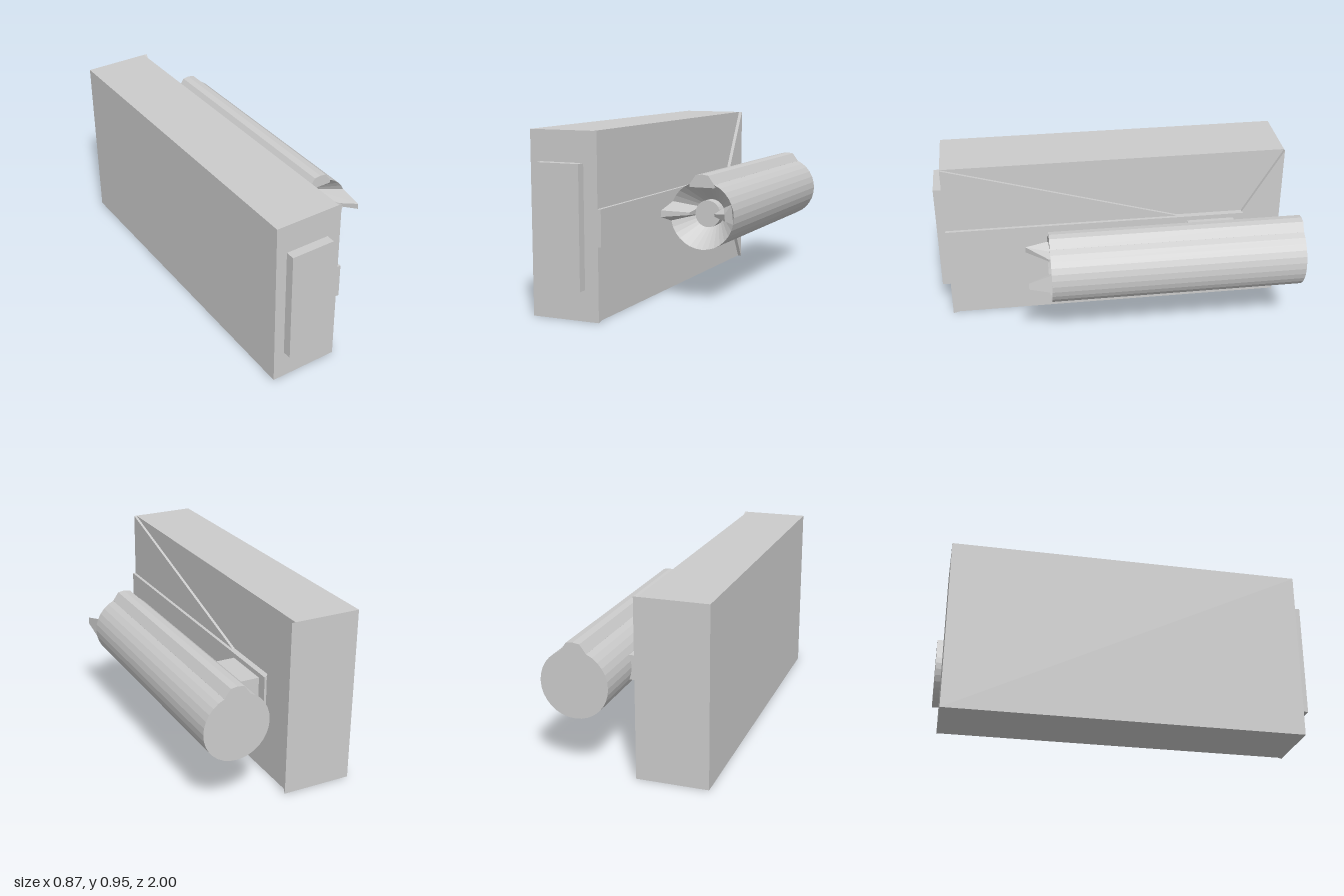
import * as THREE from 'three';

const material = new THREE.MeshStandardMaterial({ color: 0xcccccc, flatShading: true });

export function createModel() {
  const model = new THREE.Group();

  const add = (name, geometry) => {
    const mesh = new THREE.Mesh(geometry, material);
    mesh.name = name;
    model.add(mesh);
    return mesh;
  };

  // Box given by its lower and upper limits
  const addBox = (name, [x0, y0, z0], [x1, y1, z1]) =>
    add(name, new THREE.BoxGeometry(x1 - x0, y1 - y0, z1 - z0))
      .position.set((x0 + x1) / 2, (y0 + y1) / 2, (z0 + z1) / 2);

  // Slab with its outline in (z, y), extruded along x
  const addSidePanel = (name, outline, x0, x1) => {
    const shape = new THREE.Shape(outline.map(([z, y]) => new THREE.Vector2(-z, y)));
    const geometry = new THREE.ExtrudeGeometry(shape, { depth: x1 - x0, bevelEnabled: false });
    add(name, geometry.rotateY(Math.PI / 2).translate(x0, 0, 0));
  };

  // Main housing with front plate
  addBox('housing', [-0.435, 0, -0.968], [-0.073, 0.952, 0.95]);
  addBox('frontPlate', [-0.375, 0.16, 0.95], [-0.134, 0.793, 1]);

  // Raised tapering panels on the inner side
  addSidePanel('frontSidePanel', [[0.95, 0], [0.95, 0.952], [-0.37, 0.571], [-0.37, 0.382]], -0.073, -0.058);
  addSidePanel('rearSidePanel', [[-0.968, 0], [-0.968, 0.952], [-0.745, 0.571], [-0.745, 0.382]], -0.073, -0.053);

  // Rail and the arm carrying the barrel
  addBox('rail', [-0.073, 0.382, -0.75], [-0.04, 0.571, 0.95]);
  addBox('arm', [-0.04, 0.41, -0.693], [0.12, 0.545, -0.423]);

  // Barrel with conical recess and central hub
  const cx = 0.253, cy = 0.478, radius = 0.181, hubRadius = 0.072;
  const rim = 0.39, recess = 0.25;
  const profile = [[0, -1], [radius, -1], [radius, rim], [hubRadius, recess], [hubRadius, 0.31], [0, 0.31]]
    .map(([r, z]) => new THREE.Vector2(r, z));
  add('barrel', new THREE.LatheGeometry(profile, 32).rotateX(Math.PI / 2)).position.set(cx, cy, 0);

  // Ridge along the top of the barrel
  const ridge = new THREE.Shape([[-0.07, 0.15], [0.07, 0.15], [0.07, 0.167], [0.036, 0.214], [0, 0.219], [-0.036, 0.214], [-0.07, 0.167]]
    .map(([x, y]) => new THREE.Vector2(x, y)));
  add('topRidge', new THREE.ExtrudeGeometry(ridge, { depth: rim + 1, bevelEnabled: false }))
    .position.set(cx, cy, -1);

  // Two mirrored prongs, each joining an inner and an outer cross-section
  const sections = [[hubRadius, recess, rim], [radius, rim, 0.512]];
  const quads = [[0, 1, 5, 4], [1, 2, 6, 5], [2, 3, 7, 6], [3, 0, 4, 7], [4, 5, 6, 7], [3, 2, 1, 0]];
  for (const side of [1, -1]) {
    const points = [];
    for (const [r, base, top] of sections) {
      [2, 1, 0, -1].forEach((step, i) => {
        const angle = step * Math.PI / 16;
        points.push(side * r * Math.cos(angle), r * Math.sin(angle), i === 1 || i === 2 ? top : base);
      });
    }
    const index = quads.flatMap(([a, b, c, d]) => side > 0 ? [a, b, c, a, c, d] : [a, c, b, a, d, c]);
    const geometry = new THREE.BufferGeometry();
    geometry.setAttribute('position', new THREE.Float32BufferAttribute(points, 3));
    geometry.setIndex(index);
    geometry.computeVertexNormals();
    add(side > 0 ? 'leftProng' : 'rightProng', geometry).position.set(cx, cy, 0);
  }

  return model;
}
